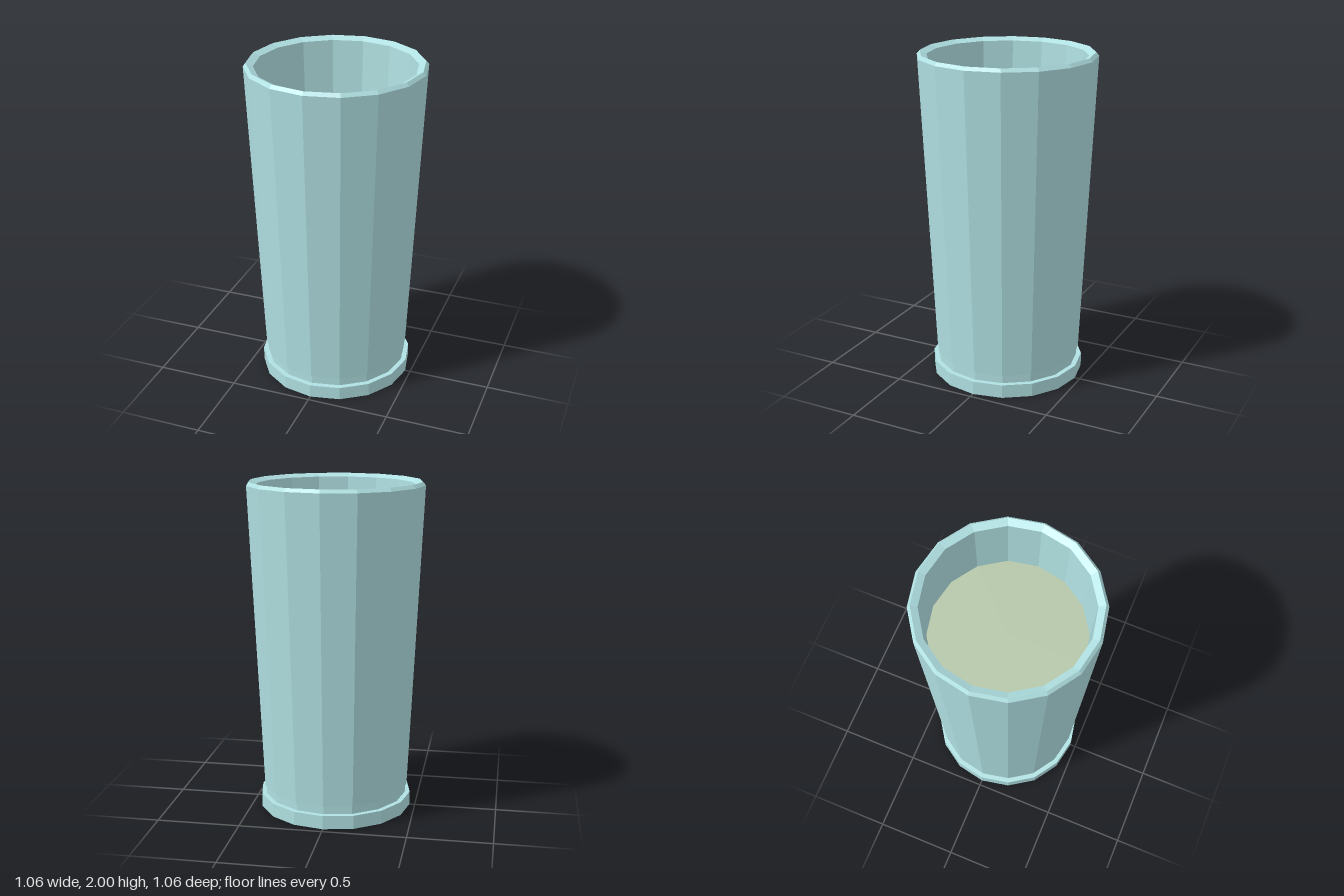
import * as THREE from 'three';

const SIDES = 16;

// Faceted solid of revolution from [radius, y] pairs, outside listed bottom to top
function turned(name, profile, material) {
  const points = profile.map(([r, y]) => new THREE.Vector2(r, y));
  const mesh = new THREE.Mesh(new THREE.LatheGeometry(points, SIDES), material);
  mesh.name = name;
  return mesh;
}

export function createModel() {
  const group = new THREE.Group();
  group.name = 'drinkingGlass';

  const glass = new THREE.MeshStandardMaterial({ color: 0xb0e0e2, flatShading: true });
  const drink = new THREE.MeshStandardMaterial({ color: 0xb4c6a8, flatShading: true });

  // Recessed bottom, short neck, tapered wall, bevelled rim, inner wall and floor
  group.add(turned('glassBody', [
    [0, 0.03], [0.436, 0.03], [0.437, 0.135],
    [0.446, 0.135], [0.53, 1.98], [0.513, 2],
    [0.473, 1.98], [0.39, 0.16], [0, 0.16],
  ], glass));

  // Foot ring around the base
  group.add(turned('footRing', [
    [0.437, 0], [0.467, 0], [0.467, 0.083], [0.437, 0.083], [0.437, 0],
  ], glass));

  // Drink filling the glass up to a flat surface
  group.add(turned('drink', [
    [0, 0.17], [0.388, 0.17], [0.457, 1.59], [0, 1.59],
  ], drink));

  return group;
}
